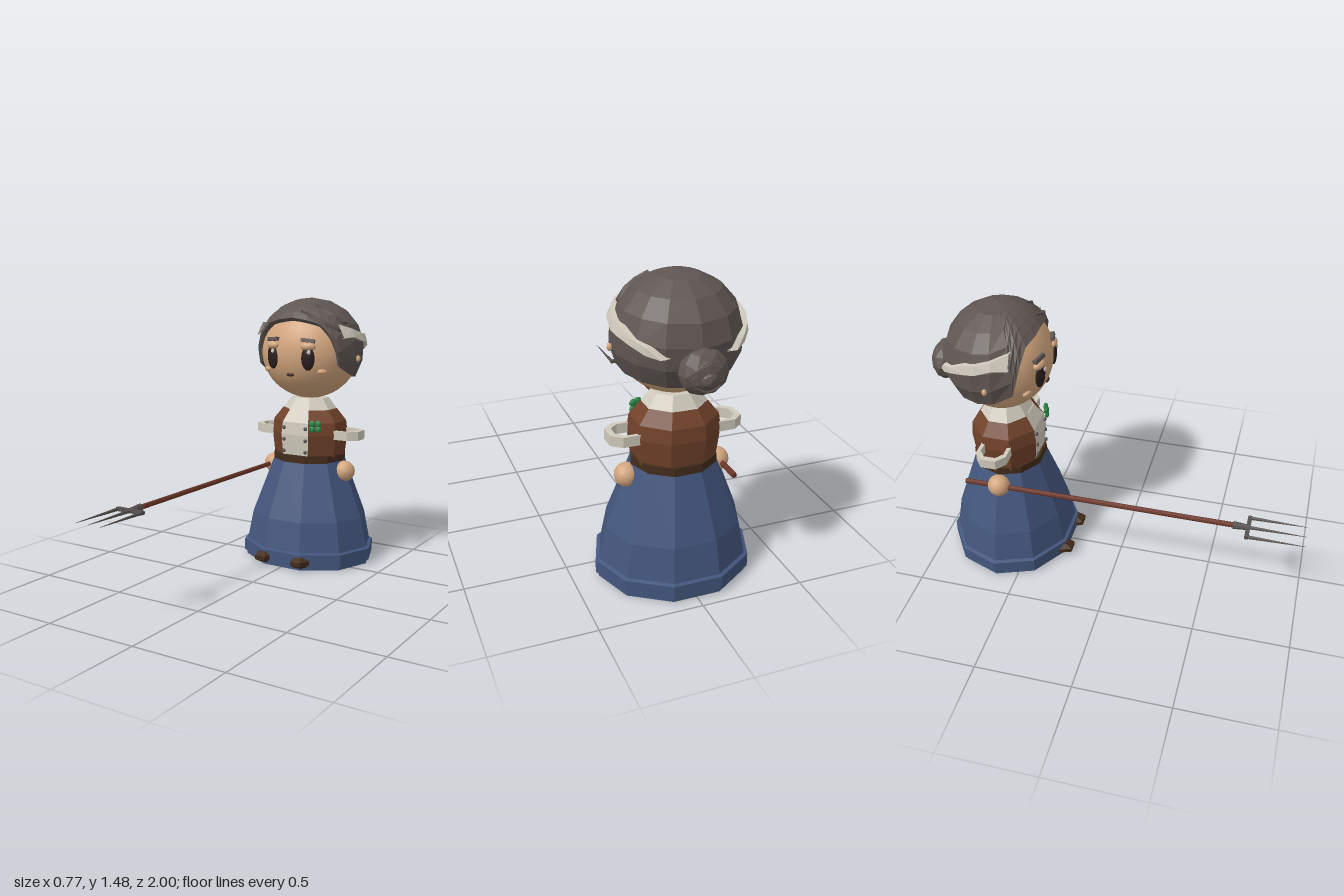
import * as THREE from 'three';

const mat = (name, color, flat = true, side = THREE.FrontSide) => {
  const m = new THREE.MeshStandardMaterial({ color, flatShading: flat, side });
  m.name = name;
  return m;
};

// Skins a list of closed loops, each an array of [x, y, z]
function loft(loops) {
  const n = loops[0].length, index = [];
  for (let i = 0; i < loops.length - 1; i++) {
    for (let j = 0; j < n; j++) {
      const a = i * n + j, b = i * n + (j + 1) % n;
      index.push(a, a + n, b, b, a + n, b + n);
    }
  }
  const g = new THREE.BufferGeometry();
  g.setAttribute('position', new THREE.Float32BufferAttribute(loops.flat(2), 3));
  g.setIndex(index);
  g.computeVertexNormals();
  return g;
}

export function createModel() {
  const model = new THREE.Group();
  const skin = mat('skin', 0xd3a67d, false);
  const hair = mat('greyHair', 0x5f5652, true, THREE.DoubleSide);
  const cream = mat('creamCloth', 0xd0cabc, true, THREE.DoubleSide);
  const blue = mat('blueSkirt', 0x43567d);
  const brown = mat('brownVest', 0x71422a);
  const dark = mat('darkLeather', 0x442c1b);
  const wood = mat('redWood', 0x6b3526);
  const metal = mat('metal', 0x57514f);
  const green = mat('green', 0x2a8545);
  const black = mat('eyeDark', 0x2a1e1e, false);

  const Z = -0.615; // body axis
  const D = Math.PI / 180;
  const add = (name, geo, m, x = 0, y = 0, z = 0) => {
    const o = new THREE.Mesh(geo, m);
    o.name = name;
    o.position.set(x, y, z);
    model.add(o);
    return o;
  };
  const ball = (rx, ry, rz, w = 16, h = 12) => new THREE.SphereGeometry(1, w, h).scale(rx, ry, rz);
  const turned = (name, pts, seg, m, depth, start, len = 360) => {
    const g = new THREE.LatheGeometry(pts.map(p => new THREE.Vector2(p[0], p[1])), seg, start * D, len * D);
    return add(name, g.scale(1, 1, depth), m, 0, 0, Z);
  };

  // Ten-sided skirt with raised hem, and belt
  turned('skirt', [[0, 0], [0.372, 0], [0.372, 0.02], [0.387, 0.024], [0.387, 0.09], [0.368, 0.096],
    [0.335, 0.26], [0.21, 0.58], [0, 0.58]], 10, blue, 0.89, 90);
  turned('belt', [[0, 0.573], [0.211, 0.573], [0.211, 0.615], [0, 0.615]], 10, dark, 0.9, 90);

  // Eight-sided vest with a cream front panel and collar
  const vest = [[0.205, 0.6], [0.221, 0.73], [0.211, 0.8], [0.156, 0.867]];
  turned('vest', vest, 7, brown, 0.87, 22.5, 315);
  turned('shirtFront', vest, 1, cream, 0.87, -22.5, 45);
  turned('collar', [[0.156, 0.867], [0.108, 0.928], [0, 0.928]], 8, cream, 0.84, 22.5);
  add('neck', new THREE.CylinderGeometry(0.06, 0.06, 0.06, 10), skin, 0, 0.93, Z);

  // Open octagonal sleeve band
  const oct = k => [[1, -0.5], [1, 0.5], [0.6, 1], [-0.6, 1], [-1, 0.5], [-1, -0.5], [-0.6, -1], [0.6, -1]]
    .map(p => new THREE.Vector2(p[0] * 0.125 * k, p[1] * 0.08 * k));
  const bandShape = new THREE.Shape(oct(1));
  bandShape.holes.push(new THREE.Path(oct(0.76)));
  const band = new THREE.ExtrudeGeometry(bandShape, { depth: 0.05, bevelEnabled: false }).rotateX(-Math.PI / 2);

  // Head ellipsoid; helper finds its front surface
  const HY = 1.19;
  add('head', ball(0.28, 0.265, 0.25, 32, 24), skin, 0, HY, -0.61);
  const feature = (name, geo, m, x, y, roll = 0, out = 0) => {
    const s = Math.sqrt(1 - (x / 0.28) ** 2 - ((y - HY) / 0.265) ** 2);
    const o = add(name, geo, m, x, y, -0.61 + 0.25 * s + out);
    o.rotation.set(-(y - HY) * 3, Math.atan2(x / 0.0784, s / 0.25) * 0.75, roll, 'YXZ');
    return o;
  };

  for (const s of [1, -1]) {
    const side = s > 0 ? 'left' : 'right';
    add(side + 'SleeveBand', band, cream, s * 0.2, 0.708, Z);
    add(side + 'Hand', new THREE.IcosahedronGeometry(0.059, 2), skin, s * 0.229, 0.521, -0.608);
    add(side + 'Shoe', ball(0.064, 0.037, 0.1, 6, 5), dark, s * 0.113, 0.046, -0.335);
    for (const y of [0.77, 0.703, 0.637]) {
      add(side + 'Button', ball(0.011, 0.011, 0.009, 8, 6), metal, s * 0.068, y, -0.437);
    }
    // Facial features
    feature(side + 'Eye', ball(0.037, 0.066, 0.016), black, s * 0.11, 1.168);
    feature(side + 'Eyelid', ball(0.042, 0.023, 0.024), skin, s * 0.11, 1.232);
    feature(side + 'EyeGlint', ball(0.011, 0.013, 0.006, 8, 6), cream, s * 0.11 + 0.012, 1.203, 0, 0.018);
    feature(side + 'Eyebrow', new THREE.BoxGeometry(0.076, 0.019, 0.026), hair, s * 0.107, 1.264, -s * 0.1, 0.004);
    feature(side + 'Cheek', ball(0.027, 0.016, 0.014), skin, s * 0.17, 1.094);
    add(side + 'Ear', ball(0.014, 0.018, 0.014, 8, 6), skin, s * 0.303, 1.16, -0.6);
  }
  feature('mouth', ball(0.023, 0.011, 0.01, 10, 6), dark, 0, 1.075);

  // Faceted hair cap whose lower limit varies around the head (azimuth, polar limit)
  const HC = [0, 1.2, -0.62], HR = [0.305, 0.285, 0.287];
  const onHair = (az, th, k = 1) => [
    HC[0] + k * HR[0] * Math.sin(th * D) * Math.sin(az * D),
    HC[1] + k * HR[1] * Math.cos(th * D),
    HC[2] + k * HR[2] * Math.sin(th * D) * Math.cos(az * D)];
  const half = [[0, 50], [20, 53], [38, 58], [49, 73], [55, 90], [59, 106], [80, 117], [100, 121],
    [125, 124], [150, 127], [180, 129]];
  const line = [...half, ...half.slice(1, -1).reverse().map(p => [360 - p[0], p[1]])];
  const rows = [];
  for (let i = 0; i <= 6; i++) rows.push(line.map(([az, lim]) => onHair(az, Math.max(0.5, lim * i / 6))));
  rows.push(line.map(([az, lim]) => onHair(az, lim, 0.82)));
  add('hairCap', loft(rows), hair);

  // Pale streaks along both sides: z, upper y, lower y
  const streak = [[-0.485, 1.35, 1.275], [-0.56, 1.325, 1.28], [-0.64, 1.3, 1.255], [-0.7, 1.29, 1.245],
    [-0.77, 1.255, 1.225], [-0.83, 1.23, 1.195], [-0.87, 1.185, 1.18]];
  const hairX = (y, z, k) => k * HR[0] * Math.sqrt(Math.max(0,
    1 - ((y - HC[1]) / HR[1] / k) ** 2 - ((z - HC[2]) / HR[2] / k) ** 2));
  for (const s of [1, -1]) {
    add('hairStreak', loft(streak.map(([z, t, b]) => [
      [s * hairX(t, z, 0.97), t, z], [s * hairX(t, z, 1.05), t, z],
      [s * hairX(b, z, 1.05), b, z], [s * hairX(b, z, 0.97), b, z]])), cream);
  }

  // Swept locks on the left of the fringe
  for (const [a0, t0, a1, t1] of [[10, 40, 62, 66], [35, 30, 75, 58]]) {
    const lock = [0, 0.33, 0.66, 1].map(t => {
      const az = a0 + (a1 - a0) * t, th = t0 + (t1 - t0) * t, w = 6 * Math.sin(Math.PI * (0.1 + 0.8 * t));
      return [onHair(az, th - w, 0.98), onHair(az, th, 1.04), onHair(az, th + w, 0.98)];
    });
    add('sweptLock', loft(lock), hair);
  }

  // Bun at the back
  add('bun', new THREE.IcosahedronGeometry(1, 1).scale(0.115, 0.105, 0.075), hair, 0, 1.125, -0.915);
  add('bunCoil', new THREE.TorusGeometry(0.06, 0.03, 5, 9), hair, 0, 1.12, -0.945);
  add('bunTip', new THREE.IcosahedronGeometry(0.05, 1), hair, 0, 1.11, -0.951);

  // Four-leaf clover pinned to the vest
  for (const [dx, dy] of [[1, 1], [1, -1], [-1, 1], [-1, -1]]) {
    add('cloverLeaf', ball(0.019, 0.019, 0.012, 8, 6), green, 0.124 + dx * 0.015, 0.788 + dy * 0.015, -0.446 - dx * 0.008);
  }

  // Pitchfork held level in the right hand
  const FX = -0.235, FY = 0.52;
  const rod = (name, r1, r0, z0, z1, m, x = FX, seg = 8) =>
    add(name, new THREE.CylinderGeometry(r1, r0, z1 - z0, seg).rotateX(Math.PI / 2), m, x, FY, (z0 + z1) / 2);
  rod('forkHandle', 0.0135, 0.0135, -0.79, 0.66, wood);
  rod('forkSocket', 0.014, 0.02, 0.635, 0.71, metal);
  add('forkCrossbar', new THREE.BoxGeometry(0.158, 0.018, 0.02), metal, FX, FY, 0.71);
  for (const dx of [-0.071, 0, 0.071]) rod('forkTine', 0.001, 0.01, 0.7, 1, metal, FX + dx, 6);

  return model;
}
